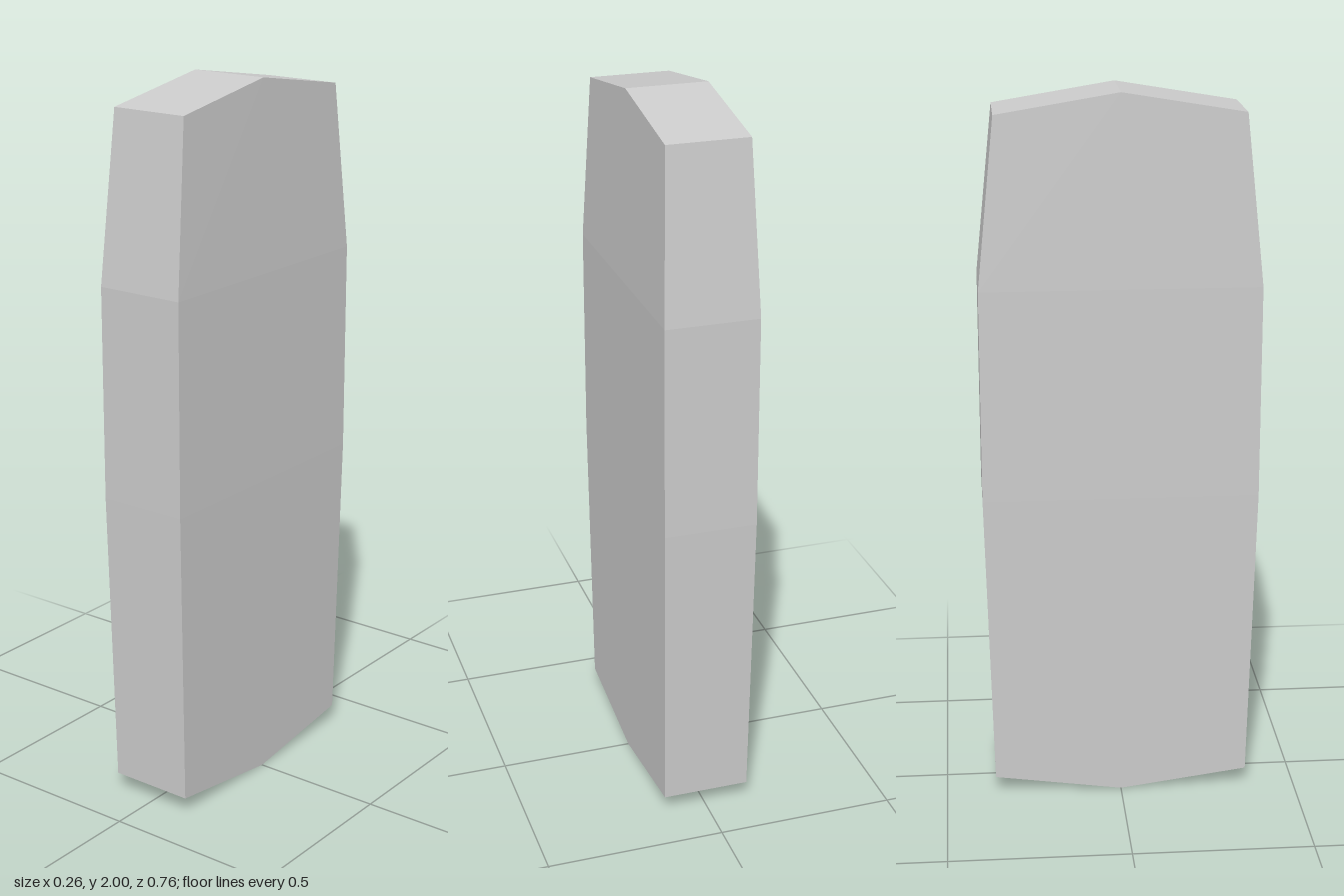
import * as THREE from 'three';

// Levels from bottom to top: height of the level and its scale in x and z
const LEVELS = [
  { y: 0.05, scale: 0.945 },
  { y: 0.89, scale: 1 },
  { y: 1.48, scale: 1 },
  { y: 1.945, scale: 0.875 },
];
const HALF_WIDTH = 0.129;
const HALF_DEPTH = 0.381;

export function createModel() {
  const group = new THREE.Group();
  group.name = 'taperedSlab';

  // A box in three tiers, split along its middle so both ends can rise to a ridge
  const box = new THREE.BoxGeometry(2, 3, 2, 1, 3, 2);
  const pos = box.attributes.position;
  for (let i = 0; i < pos.count; i++) {
    const tier = Math.round(pos.getY(i) + 1.5);
    const { y, scale } = LEVELS[tier];
    const onMiddle = Math.abs(pos.getZ(i)) < 0.01;
    let height = y;
    if (onMiddle && tier === 0) height = 0; // bottom ridge
    if (onMiddle && tier === 3) height = 2; // top ridge
    pos.setXYZ(i, pos.getX(i) * HALF_WIDTH * scale, height, pos.getZ(i) * HALF_DEPTH * scale);
  }
  const geometry = box.toNonIndexed();
  geometry.computeVertexNormals();

  const slab = new THREE.Mesh(
    geometry,
    new THREE.MeshStandardMaterial({ color: 0xcccccc, flatShading: true })
  );
  slab.name = 'slab';
  group.add(slab);
  return group;
}
